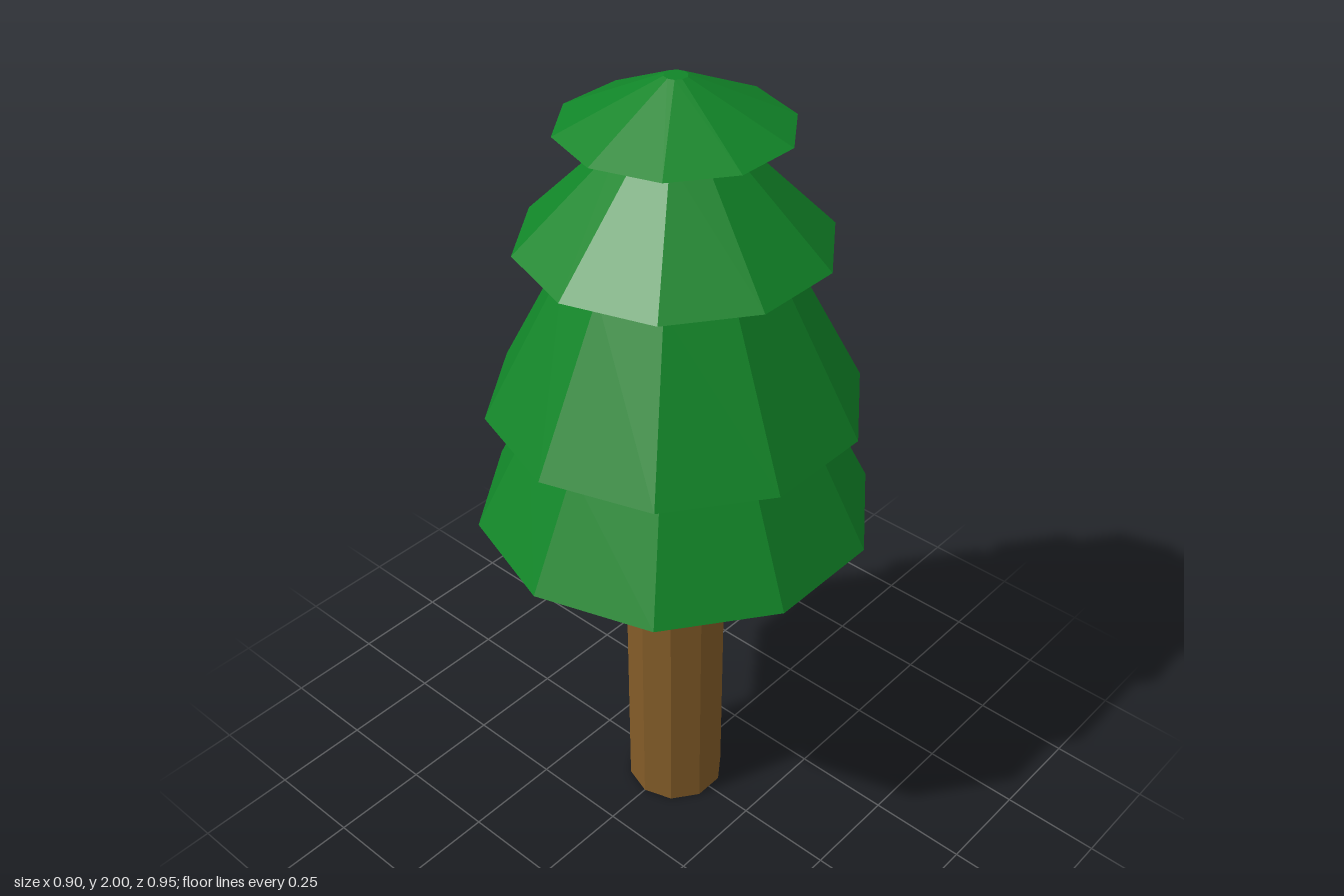
import * as THREE from 'three';

const SIDES = 10;

export function createModel() {
  const tree = new THREE.Group();
  tree.name = 'tree';

  const leafGreen = new THREE.MeshStandardMaterial({ color: 0x118528, flatShading: true });
  leafGreen.name = 'leaf green';
  const barkBrown = new THREE.MeshStandardMaterial({ color: 0x835c28, flatShading: true });
  barkBrown.name = 'bark brown';

  // Trunk: ten-sided post reaching the underside of the lowest tier
  const trunkHeight = 0.895;
  const trunk = new THREE.Mesh(new THREE.CylinderGeometry(0.125, 0.125, trunkHeight, SIDES), barkBrown);
  trunk.name = 'trunk';
  trunk.position.y = trunkHeight / 2;
  tree.add(trunk);

  // Foliage tiers, bottom to top: each is a list of [radius, height] from
  // the underside, out to the rim and up to where the next tier begins
  const tiers = [
    [[0, 0.89], [0.117, 0.89], [0.475, 0.92], [0.34, 1.19]],
    [[0.34, 1.19], [0.44, 1.22], [0.245, 1.59]],
    [[0.245, 1.59], [0.356, 1.626], [0.117, 1.865]],
    [[0.117, 1.865], [0.259, 1.89], [0.026, 2.0], [0, 2.0]],
  ];
  tiers.forEach((profile, i) => {
    const points = profile.map(([r, y]) => new THREE.Vector2(r, y));
    const tier = new THREE.Mesh(new THREE.LatheGeometry(points, SIDES), leafGreen);
    tier.name = `foliageTier${i + 1}`;
    tree.add(tier);
  });

  return tree;
}
